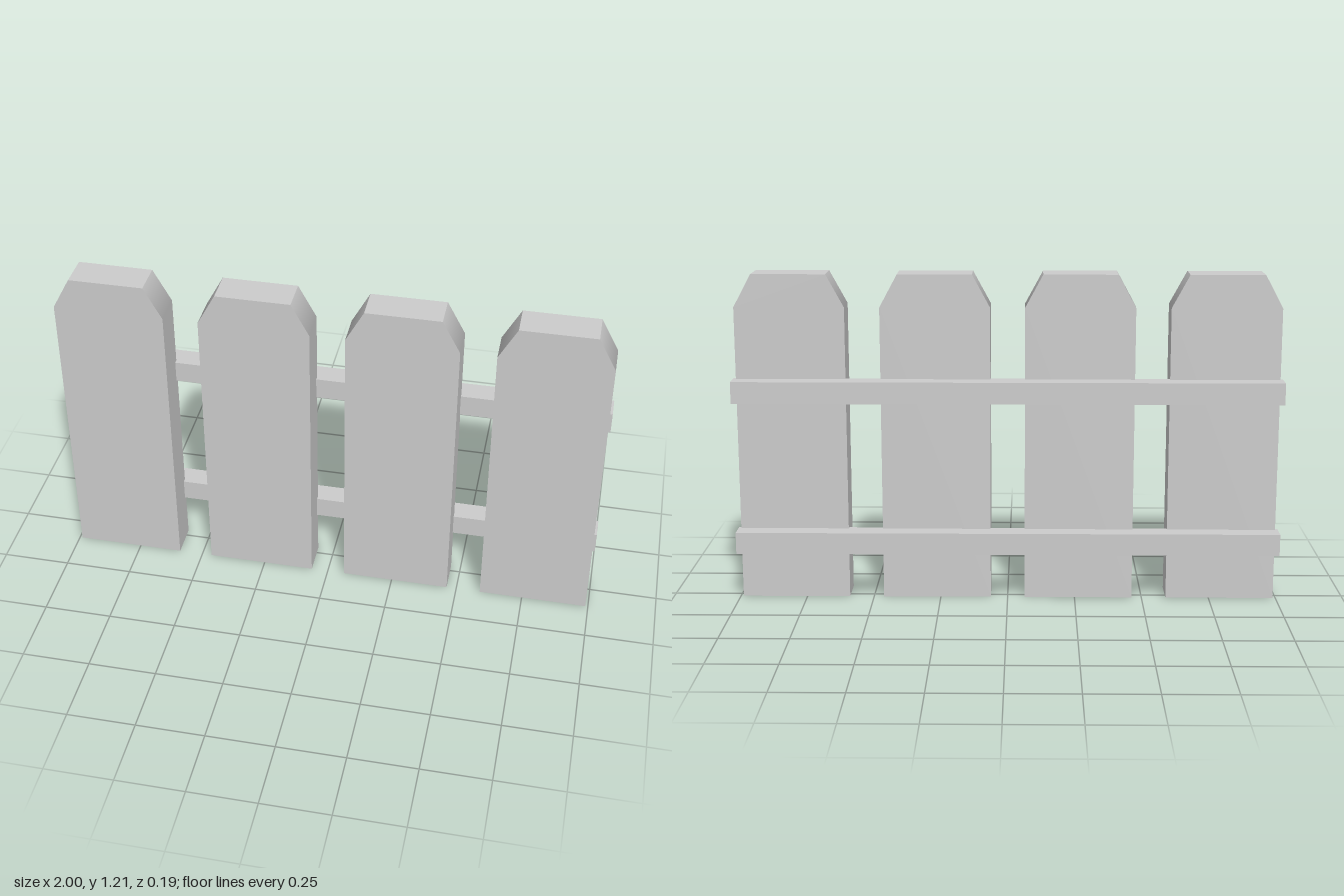
import * as THREE from 'three';

const material = new THREE.MeshStandardMaterial({ color: 0xcccccc });

// Board outline with clipped top corners, extruded to the board thickness
function picketGeometry() {
  const half = 0.2, topHalf = 0.135, shoulder = 1.09, top = 1.21;
  const shape = new THREE.Shape([
    [-half, 0], [half, 0], [half, shoulder], [topHalf, top], [-topHalf, top], [-half, shoulder],
  ].map(([x, y]) => new THREE.Vector2(x, y)));
  const geometry = new THREE.ExtrudeGeometry(shape, { depth: 0.123, bevelEnabled: false });
  // Shade the clipped corners smoothly out of the straight sides
  const { position, normal } = geometry.attributes;
  for (let i = 0; i < position.count; i++) {
    const nx = normal.getX(i);
    if (Math.abs(nx) > 0.1 && position.getY(i) < shoulder + 0.01) normal.setXYZ(i, Math.sign(nx), 0, 0);
  }
  return geometry;
}

export function createModel() {
  const fence = new THREE.Group();
  fence.name = 'picketFence';

  // Four upright boards
  const board = picketGeometry();
  [-0.79, -0.263, 0.263, 0.79].forEach((x, i) => {
    const picket = new THREE.Mesh(board, material);
    picket.name = `picket${i + 1}`;
    picket.position.set(x, 0, -0.028);
    fence.add(picket);
  });

  // Two horizontal rails, let slightly into the back of the boards
  const bar = new THREE.BoxGeometry(2, 0.08, 0.082);
  for (const [name, y] of [['lowerRail', 0.224], ['upperRail', 0.788]]) {
    const rail = new THREE.Mesh(bar, material);
    rail.name = name;
    rail.position.set(0, y, -0.054);
    fence.add(rail);
  }
  return fence;
}
